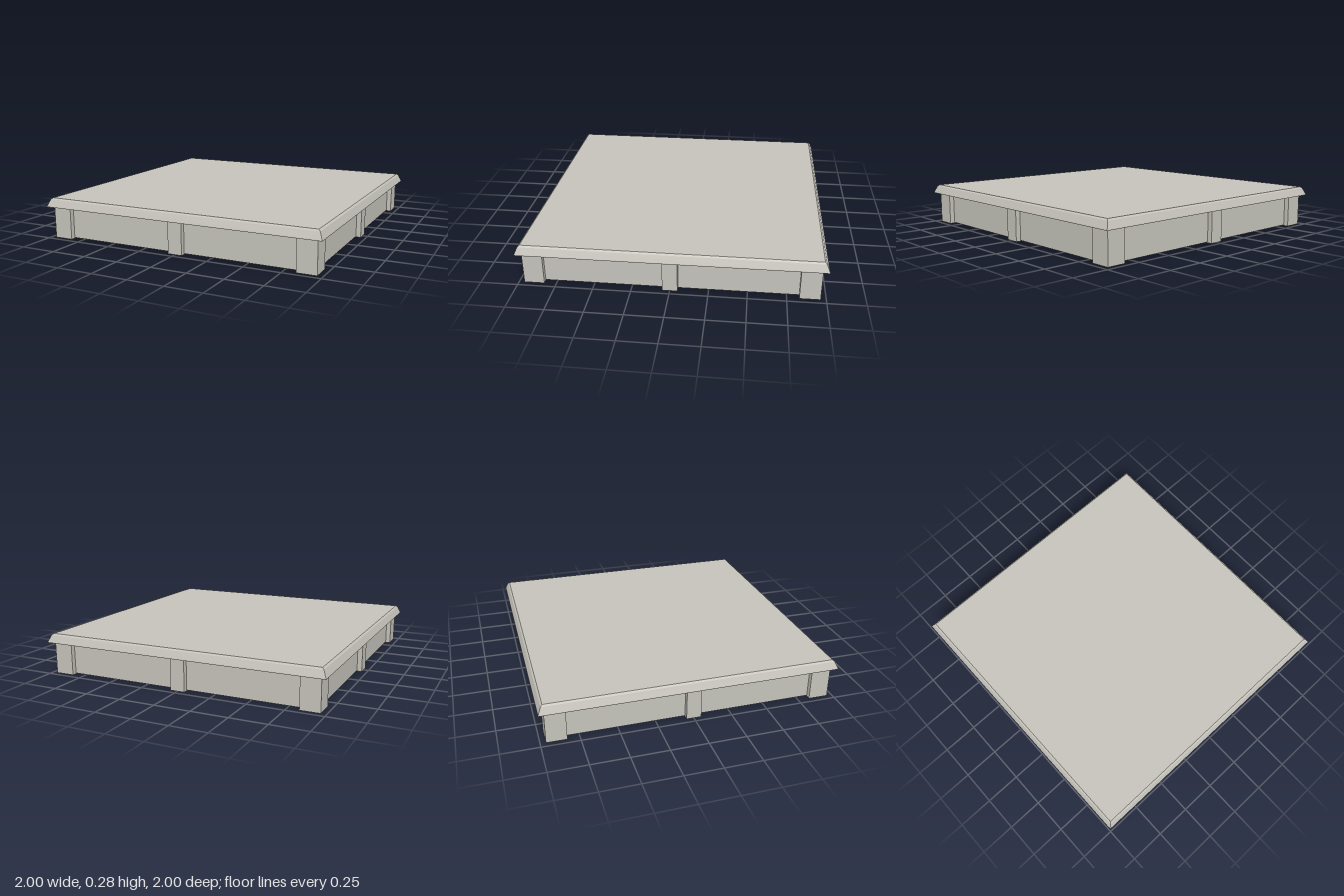
import * as THREE from 'three';

export function createModel() {
  const group = new THREE.Group();
  const stone = new THREE.MeshStandardMaterial({ color: 0xc4c2ba });
  stone.name = 'paleStone';

  const add = (name, geometry, x = 0, y = 0, z = 0) => {
    const mesh = new THREE.Mesh(geometry, stone);
    mesh.name = name;
    mesh.position.set(x, y, z);
    group.add(mesh);
  };

  // Square solid lofted through [half width, height] levels, with flat faces
  const squareLoft = (levels) => {
    const points = levels.map(([half, y]) => new THREE.Vector2(half * Math.SQRT2, y));
    const profile = [new THREE.Vector2(0, levels[0][1]), ...points,
      new THREE.Vector2(0, levels[levels.length - 1][1])];
    const geometry = new THREE.LatheGeometry(profile, 4, Math.PI / 4).toNonIndexed();
    geometry.computeVertexNormals();
    return geometry;
  };

  // Overhanging top slab with sloping sides and a softened upper edge
  add('topSlab', squareLoft([[1, 0.222], [1, 0.228], [0.98, 0.274], [0.968, 0.284]]));

  // Four base blocks, separated by narrow grooves in a cross
  const inner = 0.004, outer = 0.93, size = outer - inner, mid = (outer + inner) / 2;
  for (const sx of [-1, 1]) {
    for (const sz of [-1, 1]) {
      add('baseBlock', new THREE.BoxGeometry(size, 0.218, size), sx * mid, 0.114, sz * mid);
      // Corner post
      add('cornerPost', new THREE.BoxGeometry(0.134, 0.222, 0.134), sx * 0.897, 0.111, sz * 0.897);
    }
  }

  // Middle post on every side
  for (const s of [-1, 1]) {
    add('middlePost', new THREE.BoxGeometry(0.1, 0.222, 0.06), 0, 0.111, s * 0.934);
    add('middlePost', new THREE.BoxGeometry(0.06, 0.222, 0.1), s * 0.934, 0.111, 0);
  }
  return group;
}
